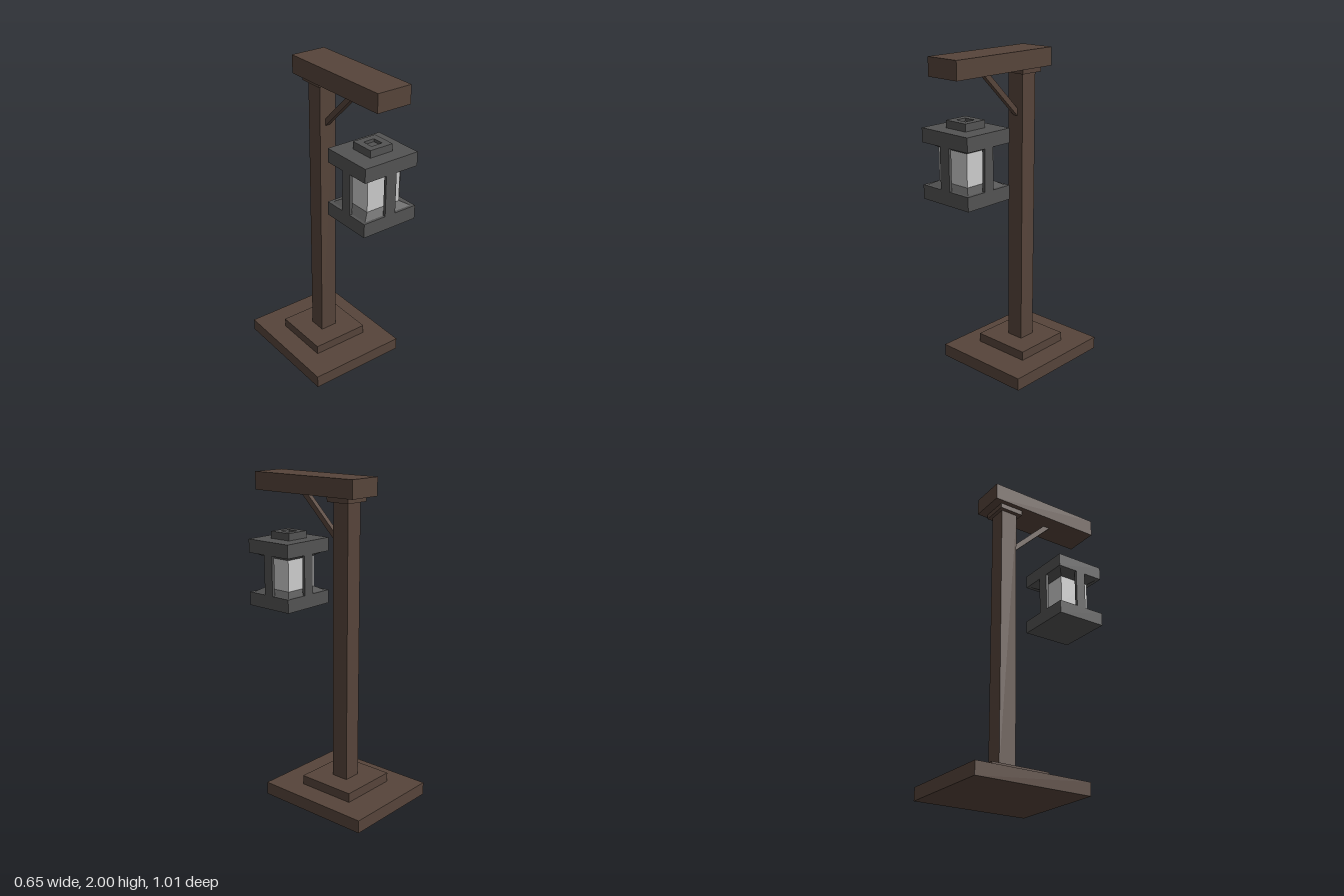
import * as THREE from 'three';

const wood = new THREE.MeshStandardMaterial({ color: 0x56443a, flatShading: true });
const iron = new THREE.MeshStandardMaterial({ color: 0x535353, flatShading: true });
const glass = new THREE.MeshStandardMaterial({ color: 0xcccccc, flatShading: true });

function add(parent, name, geometry, material) {
  const mesh = new THREE.Mesh(geometry, material);
  mesh.name = name;
  parent.add(mesh);
  return mesh;
}

// Box centred on x = 0, given by half width, y range and z range
function block(parent, name, material, hx, y0, y1, z0, z1) {
  const mesh = add(parent, name, new THREE.BoxGeometry(hx * 2, y1 - y0, z1 - z0), material);
  mesh.position.set(0, (y0 + y1) / 2, (z0 + z1) / 2);
  return mesh;
}

// Four-sided frustum: a box whose upper and lower ends have their own half sizes
function frustum(parent, name, material, y0, y1, [bx, bz], [tx, tz]) {
  const geometry = new THREE.BoxGeometry(2, y1 - y0, 2);
  const p = geometry.attributes.position;
  for (let i = 0; i < p.count; i++) {
    const top = p.getY(i) > 0;
    p.setX(i, p.getX(i) * (top ? tx : bx));
    p.setZ(i, p.getZ(i) * (top ? tz : bz));
  }
  geometry.computeVertexNormals();
  add(parent, name, geometry, material).position.y = (y0 + y1) / 2;
}

function rectangle(Type, hx, hz) {
  return new Type([[-hx, -hz], [hx, -hz], [hx, hz], [-hx, hz]].map(([x, y]) => new THREE.Vector2(x, y)));
}

function createLantern() {
  const lantern = new THREE.Group();
  lantern.name = 'lantern';
  const hx = 0.184, hz = 0.166;
  const outer = [0.165, 0.149], inner = [0.115, 0.104];

  block(lantern, 'lanternFloor', iron, hx, 1.175, 1.26, -hz, hz);
  block(lantern, 'lanternRoof', iron, hx, 1.51, 1.595, -hz, hz);

  // Sloped seats holding the glass
  frustum(lantern, 'lowerGlassSeat', iron, 1.26, 1.287, outer, inner);
  frustum(lantern, 'upperGlassSeat', iron, 1.483, 1.51, inner, outer);
  block(lantern, 'glass', glass, inner[0], 1.287, 1.483, -inner[1], inner[1]);

  // One flat bar in the middle of each side
  for (const s of [-1, 1]) {
    const endBar = block(lantern, 'bar', iron, 0.036, 1.26, 1.51, -0.009, 0.009);
    endBar.position.z = s * (hz - 0.009);
    const sideBar = block(lantern, 'bar', iron, 0.01, 1.26, 1.51, -0.033, 0.033);
    sideBar.position.x = s * (hx - 0.01);
  }

  // Cap with a square recess in its top
  const rim = rectangle(THREE.Shape, 0.078, 0.076);
  rim.holes.push(rectangle(THREE.Path, 0.037, 0.035));
  const rimGeometry = new THREE.ExtrudeGeometry(rim, { depth: 0.045, bevelEnabled: false });
  rimGeometry.rotateX(-Math.PI / 2);
  add(lantern, 'capRim', rimGeometry, iron).position.y = 1.595;
  block(lantern, 'capRecessFloor', iron, 0.037, 1.595, 1.622, -0.035, 0.035);

  lantern.position.z = 0.339;
  return lantern;
}

export function createModel() {
  const model = new THREE.Group();
  model.name = 'lanternPost';

  // Stepped foot, post and overhanging beam
  block(model, 'base', wood, 0.325, 0, 0.08, -0.507, 0.245);
  block(model, 'baseStep', wood, 0.19, 0.08, 0.138, -0.32, 0.057);
  block(model, 'post', wood, 0.056, 0.138, 1.858, -0.186, -0.075);
  block(model, 'postCap', wood, 0.082, 1.858, 1.89, -0.208, -0.048);
  block(model, 'beam', wood, 0.113, 1.89, 2, -0.264, 0.507);

  // Diagonal brace, drawn in the z-y plane and cut flush with post and beam
  const profile = new THREE.Shape([[-0.075, 1.602], [0.22, 1.89], [0.172, 1.89], [-0.075, 1.647]]
    .map(([z, y]) => new THREE.Vector2(z, y)));
  const brace = new THREE.ExtrudeGeometry(profile, { depth: 0.032, bevelEnabled: false });
  brace.translate(0, 0, -0.016).rotateY(-Math.PI / 2);
  add(model, 'brace', brace, wood);

  model.add(createLantern());
  return model;
}
